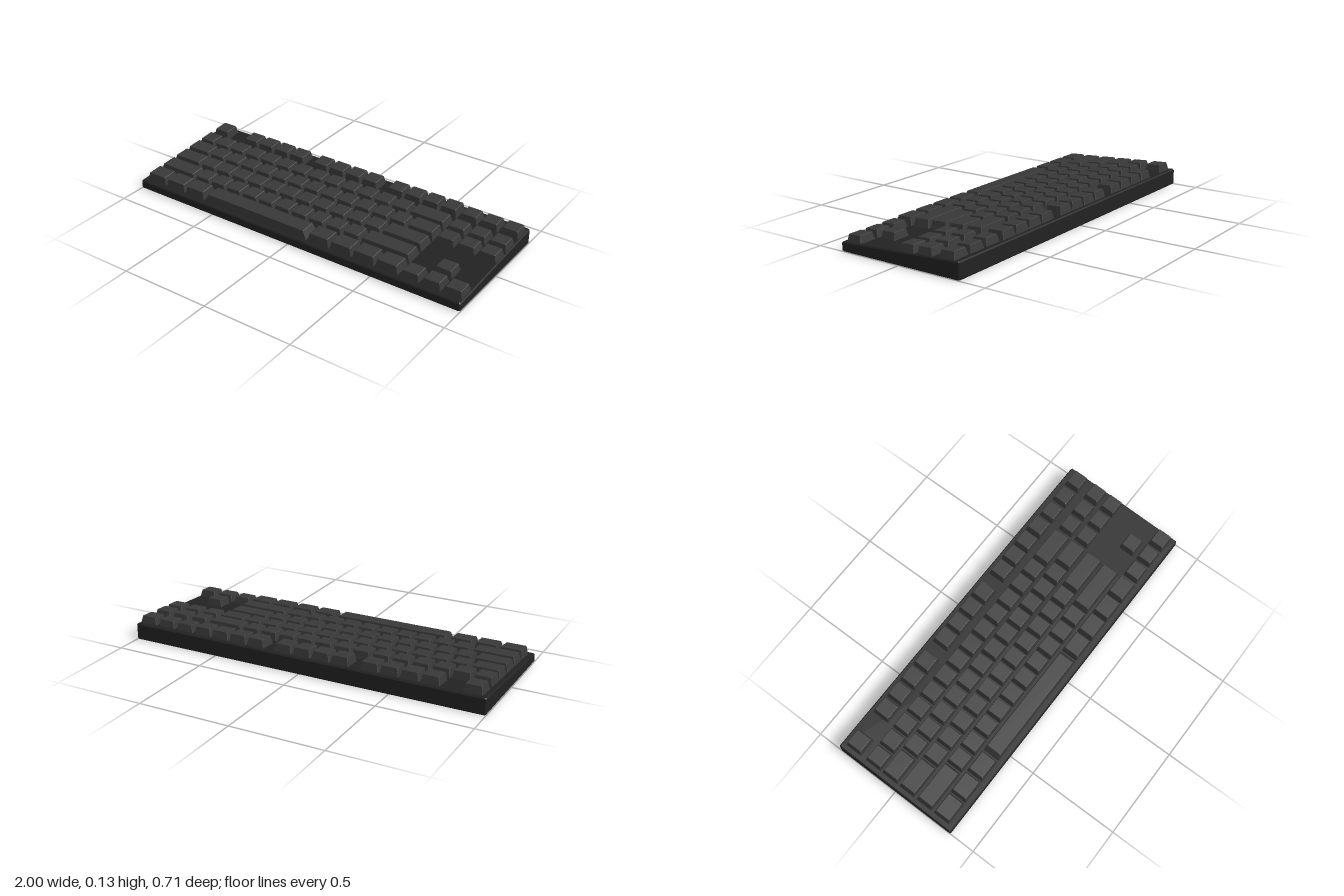
import * as THREE from 'three';

const HALF_DEPTH = 0.357;
const UNIT = 0.108;      // width of one key cell
const LEFT = -0.976;     // left edge of the main block
const slope = z => 0.069 - 0.0588 * z; // height of the tilted deck

// Rectangle with cut corners, counter-clockwise seen from above; y may depend on z
function loop(x0, x1, z0, z1, cut, yAt) {
  const c = cut;
  return [
    [x1 - c, z1], [x1, z1 - c], [x1, z0 + c], [x1 - c, z0],
    [x0 + c, z0], [x0, z0 + c], [x0, z1 - c], [x0 + c, z1],
  ].map(([x, z]) => new THREE.Vector3(x, yAt(z), z));
}

// Solid skinned through a stack of loops, closed at both ends
function loft(loops) {
  const n = loops[0].length, points = loops.flat(), index = [];
  for (let k = 0; k < loops.length - 1; k++) {
    for (let i = 0; i < n; i++) {
      const a = k * n + i, b = k * n + (i + 1) % n;
      index.push(a, b, b + n, a, b + n, a + n);
    }
  }
  const top = (loops.length - 1) * n;
  for (let i = 1; i < n - 1; i++) index.push(0, i + 1, i, top, top + i, top + i + 1);
  const g = new THREE.BufferGeometry().setFromPoints(points);
  g.setIndex(index);
  const flat = g.toNonIndexed();
  flat.computeVertexNormals();
  return flat;
}

export function createModel() {
  const model = new THREE.Group();
  model.name = 'keyboard';
  const caseMat = new THREE.MeshStandardMaterial({ color: 0x222222, flatShading: true });
  const keyMat = new THREE.MeshStandardMaterial({ color: 0x383838, flatShading: true });

  // Wedge-shaped case with chamfered edges
  const b = 0.005, d = HALF_DEPTH;
  const caseLoop = (inset, yAt) => loop(-1 + inset, 1 - inset, -d + inset, d - inset, b, yAt);
  const body = new THREE.Mesh(loft([
    caseLoop(b, () => 0),
    caseLoop(0, () => 0.006),
    caseLoop(0, z => slope(z) - 0.006),
    caseLoop(b, slope),
  ]), caseMat);
  body.name = 'case';
  model.add(body);

  // Tapered keycap: steeper at the front than at the back, wider keys taper more
  function addKey(row, name, x, z, units, depth, height) {
    const hw = units * UNIT / 2 - 0.003, hd = depth / 2;
    const side = 0.01 + 0.0026 * (units - 1);
    const ring = (t, rim, h) => loop(
      x - hw + side * t + rim, x + hw - side * t - rim,
      z - hd + 0.01 * t + rim, z + hd - 0.006 * t - rim,
      0.002, zz => slope(zz) + h);
    const key = new THREE.Mesh(loft([
      ring(0, 0, -0.003),
      ring(0.95, 0, height - 0.002),
      ring(1, 0.002, height),
    ]), keyMat);
    key.name = name;
    row.add(key);
  }

  const ones = n => Array(n).fill(1);
  // Key widths in units from left to right; negative numbers are gaps.
  // nav lists the columns of the right-hand block that hold a key.
  const rows = [
    { name: 'functionRow', z: -0.285, keys: [1, -1, ...ones(4), -0.5, ...ones(4), -0.5, ...ones(4)], nav: [0, 1, 2] },
    { name: 'numberRow', z: -0.157, keys: [...ones(13), 2], nav: [0, 1, 2] },
    { name: 'upperLetterRow', z: -0.05, keys: [1.5, ...ones(12), 1.5], nav: [0, 1, 2] },
    { name: 'homeRow', z: 0.06, keys: [1.75, ...ones(11), 2.25], nav: [] },
    { name: 'lowerLetterRow', z: 0.17, keys: [2.25, ...ones(10), 2.75], nav: [1] },
    { name: 'spaceRow', z: 0.28, keys: [1.25, 1.25, 1.25, 6.25, 1.25, 1.25, 1.25, 1.25], nav: [0, 1, 2] },
  ];

  for (const { name, z, keys, nav } of rows) {
    const row = new THREE.Group();
    row.name = name;
    let x = LEFT;
    for (const w of keys) {
      const width = Math.abs(w) * UNIT;
      if (w > 0) addKey(row, w > 6 ? 'spaceBar' : 'key', x + width / 2, z, w, 0.098, 0.044);
      x += width;
    }
    // Lower keys of the navigation and arrow block
    for (const col of nav) addKey(row, 'navigationKey', 0.708 + col * 0.117, z + 0.003, 1, 0.09, 0.039);
    model.add(row);
  }
  return model;
}
